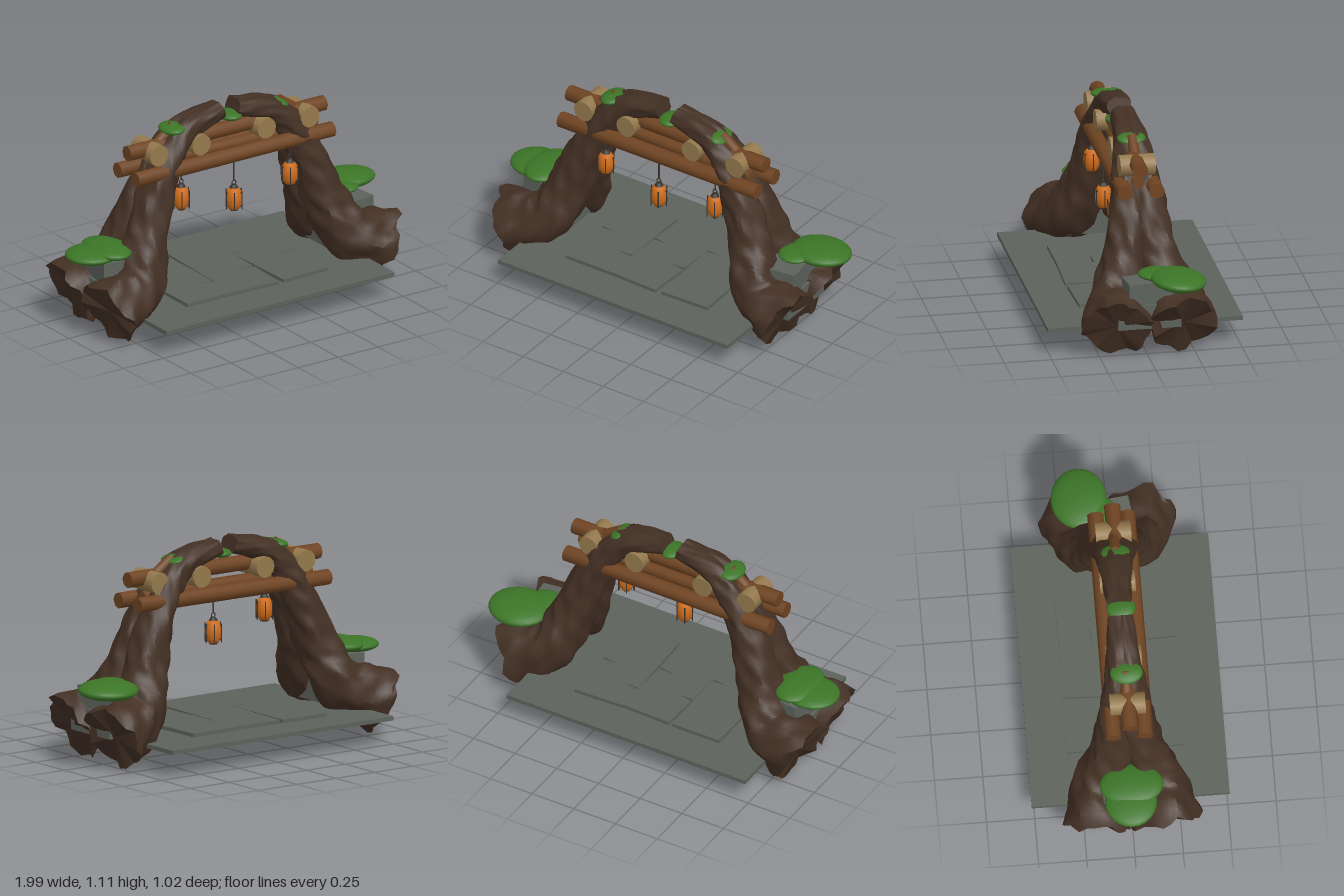
import * as THREE from 'three';
import { toCreasedNormals } from 'three/addons/utils/BufferGeometryUtils.js';

const mat = (name, color) => {
  const m = new THREE.MeshStandardMaterial({ color });
  m.name = name;
  return m;
};

export function createModel() {
  const bark = mat('bark', 0x433024);
  const timber = mat('timber', 0x6f4422);
  const cutWood = mat('cutWood', 0x94794d);
  const stone = mat('stone', 0x5d625b);
  const moss = mat('moss', 0x3c7527);
  const amber = mat('amber', 0xcf6c1a);
  const iron = mat('iron', 0x38332d);

  const root = new THREE.Group();
  root.name = 'rootArch';
  const add = (name, geometry, material, x = 0, y = 0, z = 0, parent = root) => {
    const mesh = new THREE.Mesh(geometry, material);
    mesh.name = name;
    mesh.position.set(x, y, z);
    parent.add(mesh);
    return mesh;
  };
  const V = (x, y, z) => new THREE.Vector3(x, y, z);

  // Cylinder between two points
  const rod = (name, a, b, r, material, sides = 8, parent = root) => {
    const mid = a.clone().add(b).multiplyScalar(0.5);
    const g = toCreasedNormals(new THREE.CylinderGeometry(r, r, a.distanceTo(b), sides), 0.9);
    const mesh = add(name, g, material, mid.x, mid.y, mid.z, parent);
    mesh.quaternion.setFromUnitVectors(V(0, 1, 0), b.clone().sub(a).normalize());
    return mesh;
  };

  // Gnarled tapering trunk swept along a path, with ragged capped ends
  const trunkGeometry = (points, radii, seed) => {
    const curve = new THREE.CatmullRomCurve3(points);
    const rings = 48, sides = 26, pos = [], idx = [];
    for (let i = 0; i <= rings; i++) {
      const t = i / rings;
      const c = curve.getPoint(t), T = curve.getTangent(t);
      const side = V(0, 0, 1).addScaledVector(T, -T.z).normalize();
      const up = T.clone().cross(side);
      const k = t * (radii.length - 1), n = Math.min(Math.floor(k), radii.length - 2);
      const r = THREE.MathUtils.lerp(radii[n], radii[n + 1], k - n);
      for (let j = 0; j < sides; j++) {
        const a = (j / sides) * Math.PI * 2;
        const rough = 0.96 + 0.08 * Math.abs(Math.sin(2.5 * a + 5 * t + seed))
          + 0.05 * Math.sin(4 * a - 19 * t + seed * 2) + 0.035 * Math.sin(7 * a + 43 * t + seed)
          + 0.025 * Math.sin(61 * t + 2 * a);
        const ragged = i === 0 ? 0.016 * Math.sin(5 * a + seed) + 0.01 * Math.sin(9 * a) : 0;
        const p = c.clone().addScaledVector(side, r * rough * Math.cos(a))
          .addScaledVector(up, r * rough * Math.sin(a)).addScaledVector(T, ragged);
        pos.push(p.x, p.y, p.z);
      }
    }
    for (let i = 0; i < rings; i++) for (let j = 0; j < sides; j++) {
      const a = i * sides + j, b = i * sides + (j + 1) % sides;
      idx.push(a, b, a + sides, b, b + sides, a + sides);
    }
    const first = pos.length / 3, last = rings * sides;
    const s = curve.getPoint(0.012), e = curve.getPoint(1);
    pos.push(s.x, s.y, s.z, e.x, e.y, e.z);
    for (let j = 0; j < sides; j++) {
      const k = (j + 1) % sides;
      idx.push(first, k, j, first + 1, last + j, last + k);
    }
    const g = new THREE.BufferGeometry();
    g.setAttribute('position', new THREE.Float32BufferAttribute(pos, 3));
    g.setIndex(idx);
    return toCreasedNormals(g, 0.6);
  };

  // Each half of the arch: a front and a back trunk converging at the top
  const radii = [0.178, 0.135, 0.115, 0.098, 0.08, 0.064, 0.045];
  const spread = [0.175, 0.15, 0.085, 0.055, 0.036, 0.024, 0.02];
  const halves = {
    right: [[-0.875, 0.145], [-0.67, 0.245], [-0.58, 0.43], [-0.5, 0.65], [-0.4, 0.85], [-0.28, 0.98], [-0.06, 1.04]],
    left: [[0.825, 0.155], [0.64, 0.25], [0.55, 0.43], [0.475, 0.65], [0.375, 0.85], [0.25, 0.975], [0.03, 1.035]],
  };
  let seed = 1;
  for (const [half, path] of Object.entries(halves)) for (const s of [1, -1]) {
    const pts = path.map(([x, y], i) => V(x, y, s * spread[i] - 0.005));
    add(`${half}${s > 0 ? 'Front' : 'Back'}Trunk`, trunkGeometry(pts, radii, seed), bark);
    seed += 1.7;
  }

  // Stone floor with three cracked paving slabs
  add('floor', new THREE.BoxGeometry(1.43, 0.022, 1.025), stone, -0.025, 0.116, -0.002);
  [[-0.32, -0.005, 0], [-0.028, 0, -0.035], [0.268, -0.005, 0.035]].forEach(([x, z, turn], i) => {
    const w = 0.143, d = 0.305, c = i * 0.06 - 0.06;
    const shape = new THREE.Shape([
      [-w, -d], [w, -d], [w, c - 0.065], [w - 0.1, c - 0.055], [w, c - 0.05], [w, d],
      [-w, d], [-w, c + 0.09], [-w + 0.09, c + 0.08], [-w, c + 0.075],
    ].map(([px, py]) => new THREE.Vector2(px, py)));
    const g = new THREE.ExtrudeGeometry(shape, { depth: 0.02, bevelEnabled: false });
    g.rotateX(-Math.PI / 2);
    add('pavingSlab', g, stone, x, 0.126, z).rotation.y = turn;
  });

  // Stone blocks wedged between the trunks, topped with moss
  for (const s of [1, -1]) {
    const x = s > 0 ? 0.7 : -0.72;
    add('lowerBlock', new THREE.BoxGeometry(0.27, 0.13, 0.33), stone, x, 0.21, 0);
    add('upperBlock', new THREE.BoxGeometry(0.2, 0.15, 0.26), stone, x + s * 0.02, 0.315, -0.01).rotation.y = s * 0.12;
  }
  const ball = new THREE.SphereGeometry(1, 24, 14);
  const mossPad = (x, y, z, rx, ry, rz, tiltX = 0, tiltZ = 0) => {
    const pad = add('mossPad', ball, moss, x, y, z);
    pad.scale.set(rx, ry, rz);
    pad.rotation.set(tiltX, 0, tiltZ);
  };
  mossPad(0.83, 0.405, -0.15, 0.165, 0.046, 0.145, -0.08);
  mossPad(0.74, 0.412, -0.05, 0.09, 0.026, 0.095);
  mossPad(-0.85, 0.41, -0.01, 0.142, 0.037, 0.135);
  mossPad(-0.765, 0.425, 0, 0.115, 0.038, 0.165);
  mossPad(-0.36, 1.005, 0.005, 0.062, 0.024, 0.085, 0, 0.1);
  mossPad(0, 0.998, 0.005, 0.062, 0.024, 0.075);
  mossPad(0.305, 1.002, 0, 0.05, 0.02, 0.075, 0, -0.35);

  // Long timber beams, with short braces up to the trunks
  for (const z of [-0.082, 0.082]) rod('lowerBeam', V(-0.64, 0.803, z), V(0.59, 0.807, z), 0.042, timber);
  rod('upperBeam', V(-0.64, 0.925, 0.005), V(0.59, 0.927, 0.005), 0.042, timber);
  rod('middleBeam', V(-0.5, 0.835, 0), V(0.5, 0.825, 0), 0.034, timber);
  rod('brace', V(-0.47, 0.92, 0), V(-0.35, 1.015, 0), 0.028, timber);
  rod('brace', V(0.44, 0.92, 0), V(0.31, 1.01, 0), 0.028, timber);

  // Pale cross logs
  for (const x of [-0.495, -0.23, 0.177, 0.45])
    rod('crossLog', V(x, 0.907, -0.092), V(x, 0.907, 0.092), 0.057, cutWood, 12);

  // Hanging lanterns: amber globe in an iron cage
  const globe = new THREE.LatheGeometry([[0, -0.063], [0.026, -0.06], [0.04, -0.035], [0.045, 0],
    [0.04, 0.035], [0.026, 0.058], [0, 0.06]].map(([r, y]) => new THREE.Vector2(r, y)), 16);
  for (const [x, y] of [[-0.355, 0.645], [-0.025, 0.565], [0.325, 0.627]]) {
    const lantern = new THREE.Group();
    lantern.name = 'lantern';
    lantern.position.set(x, y, 0.085);
    root.add(lantern);
    add('globe', globe, amber, 0, 0, 0, lantern);
    add('cap', new THREE.CylinderGeometry(0.012, 0.026, 0.02, 10), iron, 0, 0.066, 0, lantern);
    add('base', new THREE.CylinderGeometry(0.026, 0.02, 0.008, 10), iron, 0, -0.063, 0, lantern);
    add('ring', new THREE.TorusGeometry(0.012, 0.003, 6, 14), iron, 0, 0.087, 0, lantern);
    rod('cord', V(0, 0.095, 0), V(0, 0.79 - y, 0), 0.004, iron, 6, lantern);
    for (let i = 0; i < 6; i++) {
      const a = (i / 6) * Math.PI * 2, cx = Math.cos(a), cz = Math.sin(a);
      rod('cageBar', V(cx * 0.046, -0.055, cz * 0.046), V(cx * 0.046, 0.045, cz * 0.046), 0.003, iron, 6, lantern);
      for (const h of [-0.04, 0.035])
        rod('cageSpoke', V(cx * 0.03, h, cz * 0.03), V(cx * 0.046, h, cz * 0.046), 0.003, iron, 6, lantern);
    }
  }
  return root;
}
